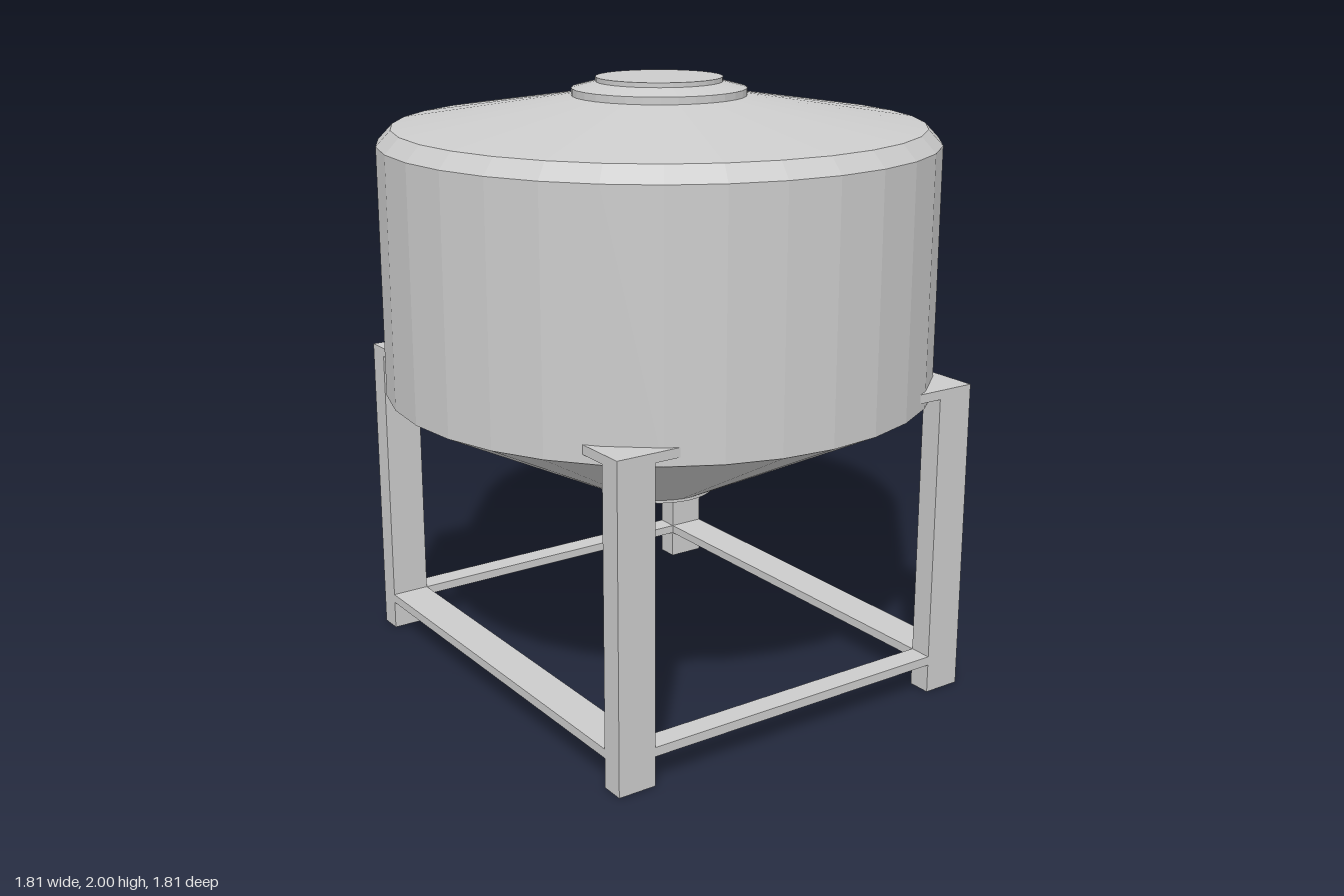
import * as THREE from 'three';

export function createModel() {
  const model = new THREE.Group();
  const material = new THREE.MeshStandardMaterial({ color: 0xcccccc, flatShading: true });

  const add = (name, geometry, x = 0, y = 0, z = 0) => {
    const mesh = new THREE.Mesh(geometry, material);
    mesh.name = name;
    mesh.position.set(x, y, z);
    model.add(mesh);
  };

  // Turned part from [radius, height] pairs, listed from bottom to top
  const turned = (name, profile) =>
    add(name, new THREE.LatheGeometry(profile.map(([r, y]) => new THREE.Vector2(r, y)), 32));

  // Tank: conical hopper, straight wall, bevelled shoulder and shallow roof
  turned('tank', [[0, 0.625], [0.185, 0.625], [0.907, 0.99], [0.907, 1.8], [0.86, 1.85], [0.28, 1.942], [0, 1.942]]);
  turned('outlet', [[0, 0.615], [0.185, 0.615], [0.185, 0.63], [0, 0.63]]);

  // Hatch on the roof
  turned('hatchRing', [[0, 1.94], [0.283, 1.94], [0.283, 1.965], [0.205, 1.985], [0, 1.985]]);
  turned('hatchLid', [[0, 1.98], [0.205, 1.98], [0.205, 2], [0, 2]]);

  // Stand: four legs, with a low and a high frame of flat bars
  const legW = 0.13, legD = 0.077, legH = 1.047, barH = 0.03;
  const legX = 0.613, legZ = 0.738;
  for (const sx of [-1, 1]) {
    for (const sz of [-1, 1]) {
      add('leg', new THREE.BoxGeometry(legW, legH, legD), sx * legX, legH / 2, sz * legZ);
    }
  }
  for (const [level, y] of [['lower', 0.112], ['upper', legH - barH / 2]]) {
    for (const s of [-1, 1]) {
      add(level + 'CrossBar', new THREE.BoxGeometry(2 * legX - legW, barH, legD), 0, y, s * legZ);
      add(level + 'SideBar', new THREE.BoxGeometry(legW, barH, 2 * legZ - legD), s * legX, y, 0);
    }
  }
  return model;
}
